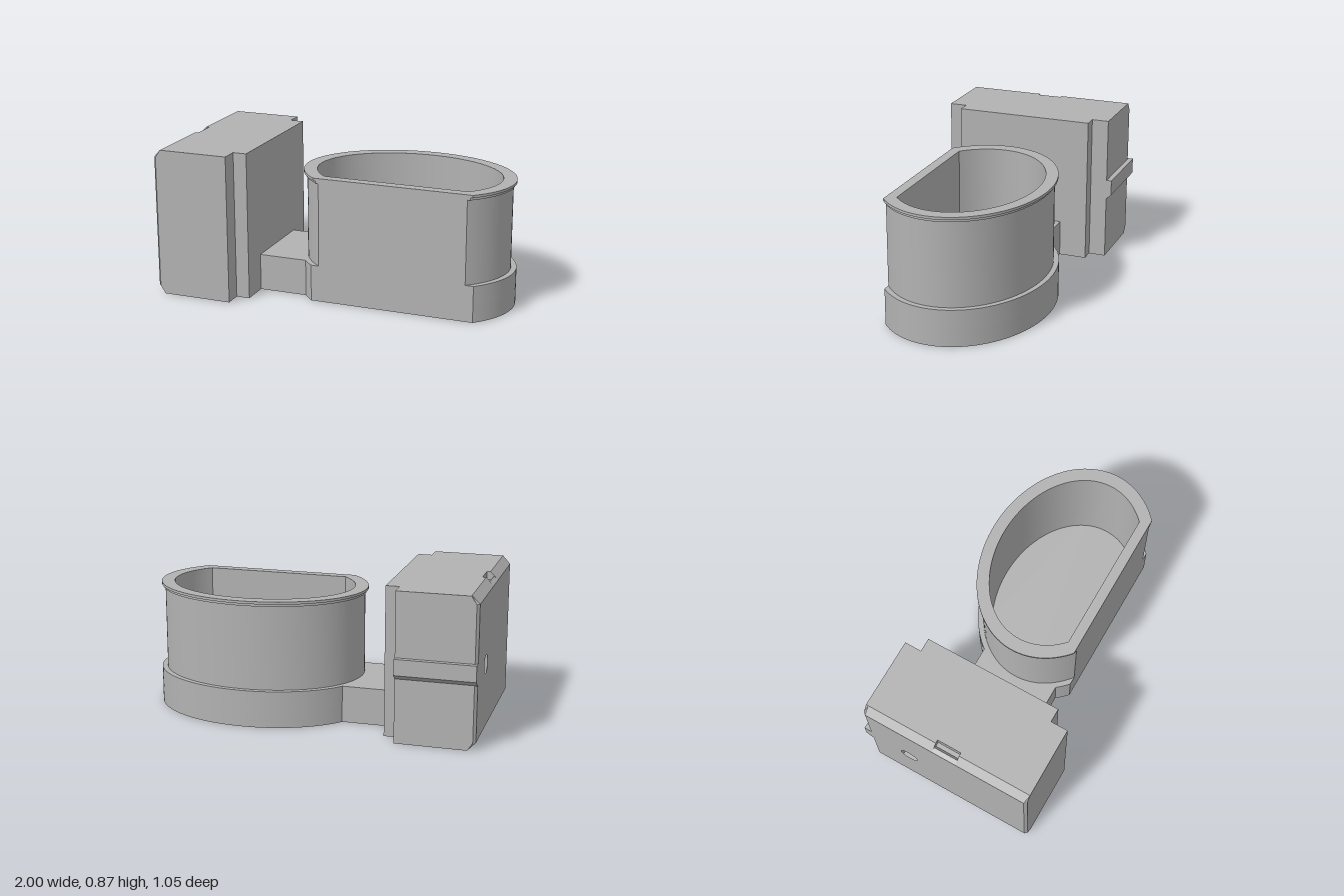
import * as THREE from 'three';
import { toCreasedNormals } from 'three/addons/utils/BufferGeometryUtils.js';

const CX = 0.365, CZ = 0.01;      // centre of the oval cup
const H = 0.865;                  // height of the side block

// Oval cut flat at z = front, drawn in (x, -z)
function ovalPoints(a, b, front, n = 72) {
  const s = Math.asin((front - CZ) / b);
  const pts = [];
  for (let i = 0; i <= n; i++) {
    const t = -s + (Math.PI + 2 * s) * i / n;
    pts.push(new THREE.Vector2(CX + a * Math.cos(t), -CZ + b * Math.sin(t)));
  }
  return pts;
}

export function createModel() {
  const group = new THREE.Group();
  const grey = new THREE.MeshStandardMaterial({ color: 0xb2b2b2 });
  grey.name = 'plain grey';

  const add = (name, geo) => {
    const mesh = new THREE.Mesh(geo, grey);
    mesh.name = name;
    group.add(mesh);
  };
  const box = (name, x0, x1, y0, y1, z0, z1) => {
    const g = new THREE.BoxGeometry(x1 - x0, y1 - y0, z1 - z0);
    add(name, g.translate((x0 + x1) / 2, (y0 + y1) / 2, (z0 + z1) / 2));
  };
  // One horizontal layer of the cup, optionally hollow
  const layer = (name, a, b, y0, y1, hollow = true) => {
    const shape = new THREE.Shape(ovalPoints(a, b, 0.32));
    if (hollow) shape.holes.push(new THREE.Path(ovalPoints(0.542, 0.4, 0.26)));
    const g = new THREE.ExtrudeGeometry(shape, { depth: y1 - y0, bevelEnabled: false });
    g.rotateX(-Math.PI / 2).translate(0, y0, 0);
    add(name, toCreasedNormals(g, 0.5));
  };

  // Cup
  layer('cupFloor', 0.632, 0.48, 0, 0.1, false);
  layer('cupBase', 0.632, 0.48, 0.1, 0.215);
  layer('cupWall', 0.6, 0.45, 0.215, 0.705);
  layer('rimLower', 0.61, 0.46, 0.705, 0.72);
  layer('rimUpper', 0.62, 0.47, 0.72, 0.735);

  // Arm and the step on the inner face of the block
  box('arm', -0.47, -0.1, 0, 0.215, -0.235, 0.255);
  box('blockStep', -0.55, -0.465, 0, H, -0.4, 0.42);

  // Block slices: x-y profiles with chamfered outer edges, run along z
  const plain = [[-0.545, 0], [-0.545, H], [-0.955, H], [-1, H - 0.045], [-1, 0.045], [-0.955, 0]];
  const upperSlot = [[-0.935, H], [-0.935, 0.82], [-0.96, 0.82], [-0.975, 0.84]];
  const lowerSlot = upperSlot.map(([x, y]) => [x, H - y]).reverse();
  const slotted = [...plain.slice(0, 2), ...upperSlot, ...plain.slice(3, 5), ...lowerSlot];
  const pocket = [[-1, 0.54], [-0.88, 0.54], [-0.88, 0.3], [-1, 0.3]];
  const pocketed = [...plain.slice(0, 4), ...pocket, ...plain.slice(4)];

  const slice = (name, profile, z0, z1, bevelZ) => {
    const shape = new THREE.Shape(profile.map(([x, y]) => new THREE.Vector2(x, y)));
    const g = new THREE.ExtrudeGeometry(shape, { depth: z1 - z0, bevelEnabled: false }).translate(0, 0, z0);
    if (bevelZ !== undefined) {
      const p = g.attributes.position;
      for (let i = 0; i < p.count; i++) {
        if (Math.abs(p.getZ(i) - bevelZ) < 1e-4) p.setX(i, Math.max(p.getX(i), -0.985));
      }
      g.computeVertexNormals();
    }
    add(name, g);
  };
  slice('blockBackEdge', plain, -0.5, -0.485, -0.5);
  slice('blockBack', plain, -0.485, -0.3);
  slice('blockHoleSection', pocketed, -0.3, -0.18);
  slice('blockMiddle', plain, -0.18, -0.06);
  slice('blockSlotSection', slotted, -0.06, 0.085);
  slice('blockFront', plain, 0.085, 0.507);
  slice('blockFrontEdge', plain, 0.507, 0.522, 0.522);

  // Round hole in the outer side: a square plug, drawn in (z, y), run along x
  const plug = new THREE.Shape([[-0.3, 0.3], [-0.18, 0.3], [-0.18, 0.54], [-0.3, 0.54]]
    .map(([z, y]) => new THREE.Vector2(-z, y)));
  plug.holes.push(new THREE.Path().absarc(0.24, 0.42, 0.053, 0, Math.PI * 2, true));
  const plugGeo = new THREE.ExtrudeGeometry(plug, { depth: 0.12, bevelEnabled: false, curveSegments: 32 });
  add('sideHole', toCreasedNormals(plugGeo.rotateY(Math.PI / 2).translate(-1, 0, 0), 0.5));

  // Rail on the back with a sloped underside, drawn in (-z, y)
  const rail = new THREE.Shape([[0.48, 0.37], [0.497, 0.37], [0.53, 0.4], [0.53, 0.492], [0.48, 0.492]]
    .map(([z, y]) => new THREE.Vector2(z, y)));
  const railGeo = new THREE.ExtrudeGeometry(rail, { depth: 0.455, bevelEnabled: false });
  add('backRail', railGeo.rotateY(Math.PI / 2).translate(-1, 0, 0));

  return group;
}
